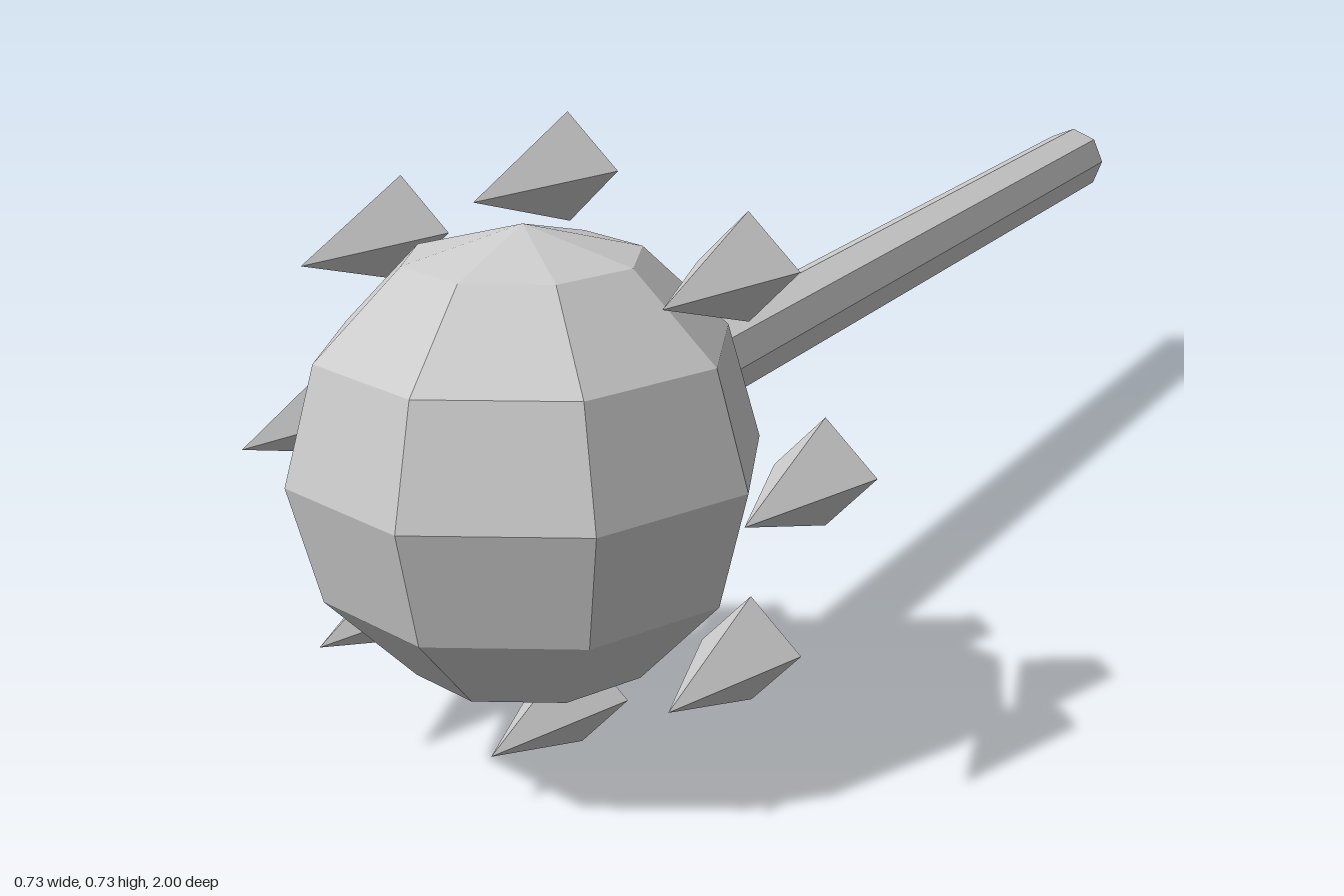
import * as THREE from 'three';

export function createModel() {
  const model = new THREE.Group();
  const material = new THREE.MeshStandardMaterial({ color: 0xcccccc, flatShading: true });
  const axisY = 0.363;
  const headZ = 0.74;

  const add = (name, geometry, x, y, z) => {
    const mesh = new THREE.Mesh(geometry, material);
    mesh.name = name;
    mesh.position.set(x, y, z);
    model.add(mesh);
  };

  // Faceted ball head
  add('head', new THREE.SphereGeometry(0.261, 8, 6), 0, axisY, headZ);

  // Octagonal shaft, narrowing where it enters the head
  const profile = [[0, -1], [0.05, -1], [0.05, 0.42], [0.036, 0.51], [0, 0.51]]
    .map(([r, z]) => new THREE.Vector2(r, z));
  add('shaft', new THREE.LatheGeometry(profile, 8).rotateX(Math.PI / 2), 0, axisY, 0);

  // Ring of four-sided spikes pointing forward
  const spike = new THREE.ConeGeometry(0.06, 0.195, 4).rotateX(Math.PI / 2);
  for (let i = 0; i < 8; i++) {
    const a = (i * Math.PI) / 4;
    add('spike' + (i + 1), spike, 0.303 * Math.cos(a), axisY + 0.303 * Math.sin(a), 0.738);
  }
  return model;
}
